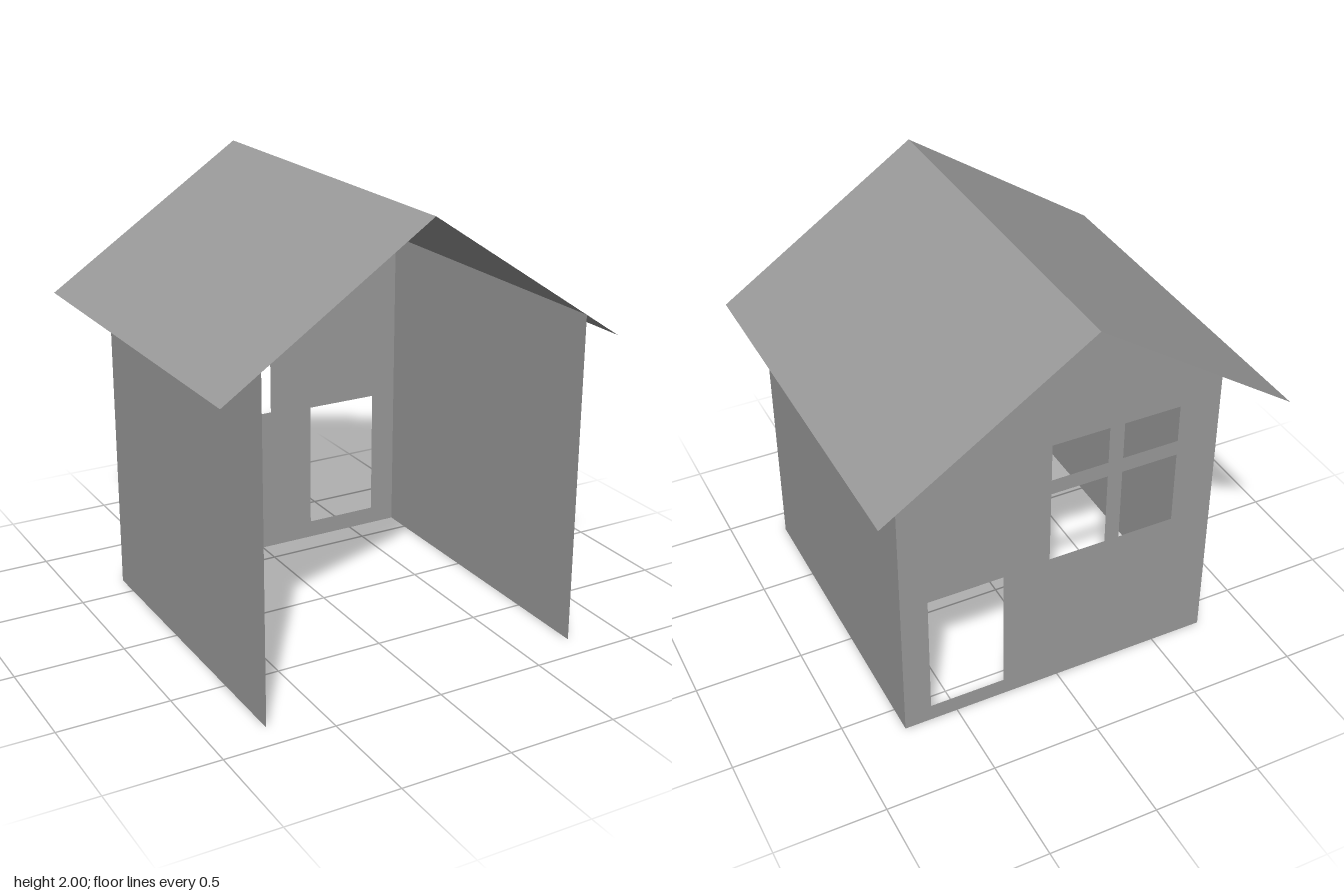
import * as THREE from 'three';

const HALF_W = 0.75, EAVE = 1.5, RIDGE = 2;      // wall outline
const FRONT = 0.875, BACK = -0.625;              // wall depth range
const ROOF_HALF_W = 0.92, ROOF_DEPTH = 1.75;     // roof overhangs sides and back

const material = new THREE.MeshStandardMaterial({ color: 0x9b9b9b, side: THREE.DoubleSide });

function addMesh(group, name, geometry) {
  const mesh = new THREE.Mesh(geometry, material);
  mesh.name = name;
  group.add(mesh);
  return mesh;
}

// Rectangular opening from its left, right, bottom and top
function opening(l, r, b, t) {
  return new THREE.Path([[l, b], [l, t], [r, t], [r, b]].map(([x, y]) => new THREE.Vector2(x, y)));
}

export function createModel() {
  const house = new THREE.Group();
  house.name = 'playhouse';

  // Gable wall with a doorway and a four-pane window
  const outline = new THREE.Shape(
    [[-HALF_W, 0], [HALF_W, 0], [HALF_W, EAVE], [0, RIDGE], [-HALF_W, EAVE]]
      .map(([x, y]) => new THREE.Vector2(x, y)));
  outline.holes.push(opening(0.272, 0.625, 0.083, 0.695));
  for (const [l, r] of [[-0.552, -0.285], [-0.215, 0.053]]) {
    for (const [b, t] of [[0.71, 1.067], [1.14, 1.32]]) outline.holes.push(opening(l, r, b, t));
  }
  addMesh(house, 'gableWall', new THREE.ShapeGeometry(outline)).position.z = BACK;

  // Side walls and roof slopes, mirrored about x = 0
  const pitch = Math.atan2(RIDGE - EAVE, HALF_W);
  const slope = ROOF_HALF_W / Math.cos(pitch);
  for (const [side, s] of [['left', 1], ['right', -1]]) {
    const wall = addMesh(house, side + 'Wall', new THREE.PlaneGeometry(FRONT - BACK, EAVE));
    wall.rotation.y = s * Math.PI / 2;
    wall.position.set(s * HALF_W, EAVE / 2, (FRONT + BACK) / 2);

    const roof = addMesh(house, side + 'Roof',
      new THREE.PlaneGeometry(slope, ROOF_DEPTH).rotateX(-Math.PI / 2));
    roof.rotation.z = -s * pitch;
    roof.position.set(s * ROOF_HALF_W / 2, RIDGE - Math.tan(pitch) * ROOF_HALF_W / 2, 0);
  }
  return house;
}
